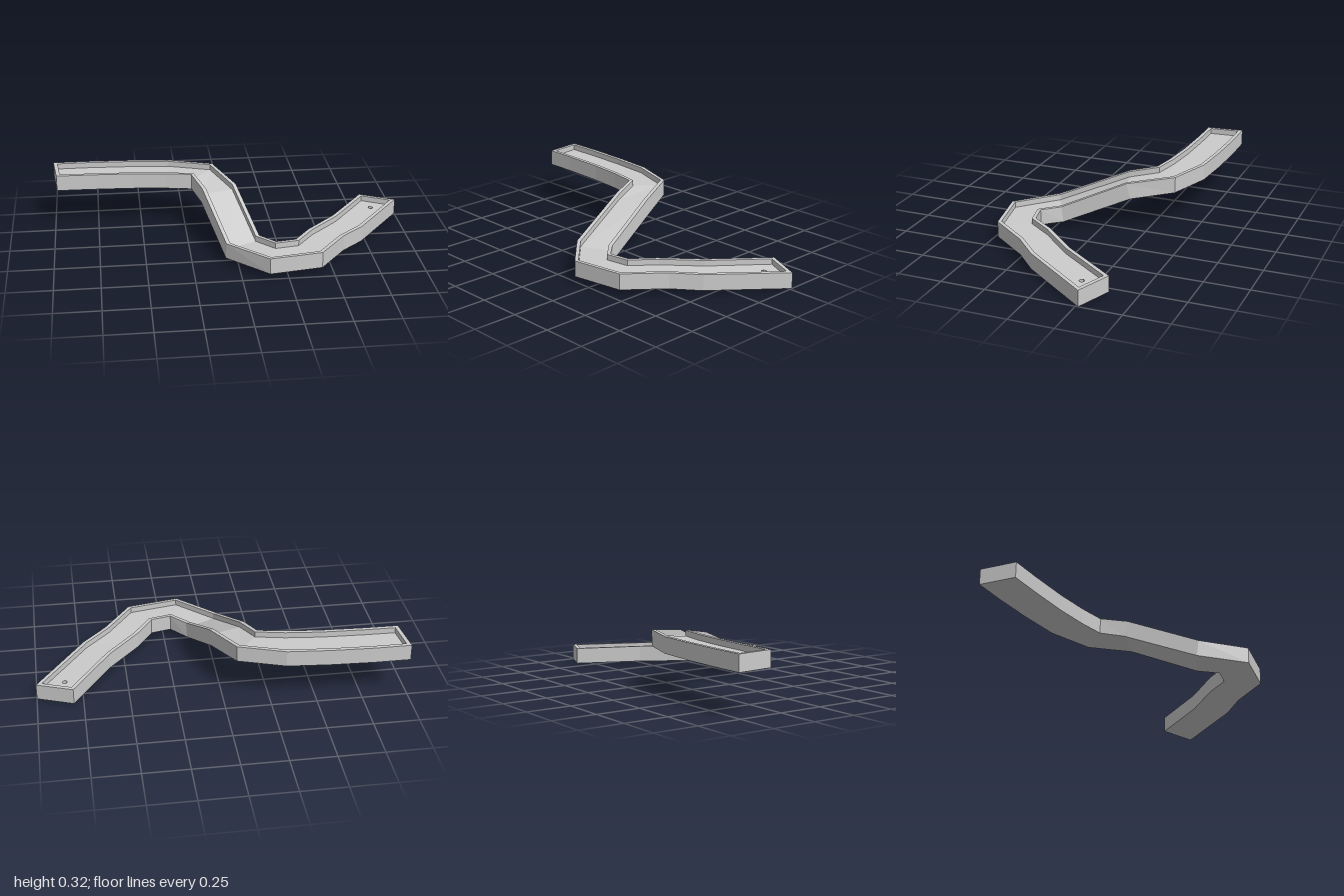
import * as THREE from 'three';

const RIM = 0.022, DEPTH = 0.032, HEIGHT = 0.09;
const HOLE = { x: 0.845, z: -0.22, r: 0.014 };

// Stations along the lane: far edge x, y, z, then near edge x, y, z
const STATIONS = [
  [-1, 0.317, -0.51, -0.98, 0.317, -0.30],
  [-0.80, 0.317, -0.51, -0.79, 0.317, -0.297],
  [-0.56, 0.317, -0.50, -0.55, 0.317, -0.287],
  [-0.33, 0.317, -0.48, -0.36, 0.317, -0.267],
  [-0.075, 0.317, -0.393, -0.21, 0.317, -0.24],
  [0.037, 0.285, -0.147, -0.16, 0.288, -0.09],
  [0.125, 0.125, 0.21, -0.065, 0.125, 0.30],
  [0.207, 0.125, 0.30, 0.147, 0.123, 0.505],
  [0.32, 0.123, 0.277, 0.438, 0.12, 0.453],
  [0.41, 0.118, 0.147, 0.592, 0.113, 0.245],
  [0.585, 0.11, -0.04, 0.72, 0.105, 0.12],
  [0.803, 0.097, -0.35, 1, 0.09, -0.265],
];

// Flat-shaded mesh from a list of four-cornered faces
function quadMesh(name, quads, material) {
  const points = quads.flatMap(([a, b, c, d]) => [a, b, c, a, c, d]);
  const geometry = new THREE.BufferGeometry().setFromPoints(points);
  geometry.computeVertexNormals();
  const mesh = new THREE.Mesh(geometry, material);
  mesh.name = name;
  return mesh;
}

// Faces joining two rails running along the lane
function strip(p, q, end = p.length - 1) {
  const quads = [];
  for (let i = 0; i < end; i++) quads.push([p[i], q[i], q[i + 1], p[i + 1]]);
  return quads;
}

const lower = (rail, dy) => rail.map((p) => new THREE.Vector3(p.x, p.y - dy, p.z));

export function createModel() {
  const group = new THREE.Group();
  group.name = 'lane';
  const material = new THREE.MeshStandardMaterial({ color: 0xcccccc, flatShading: true });
  const last = STATIONS.length - 1;

  // Outer top rails
  const farOut = STATIONS.map((s) => new THREE.Vector3(s[0], s[1], s[2]));
  const nearOut = STATIONS.map((s) => new THREE.Vector3(s[3], s[4], s[5]));

  // Inner top rails, drawn in from the sides and from both ends
  const inset = (from, to) => from.map((p, i) => {
    const q = p.clone().add(to[i].clone().sub(p).setLength(RIM));
    if (i === 0) q.add(from[1].clone().sub(p).setLength(RIM));
    if (i === last) q.add(from[last - 1].clone().sub(p).setLength(RIM));
    return q;
  });
  const farIn = inset(farOut, nearOut), nearIn = inset(nearOut, farOut);
  const farFloor = lower(farIn, DEPTH), nearFloor = lower(nearIn, DEPTH);
  const farBase = lower(farOut, HEIGHT), nearBase = lower(nearOut, HEIGHT);

  // The underside of the ramp leans back against the slope
  for (const base of [farBase, nearBase]) {
    base[5].add(new THREE.Vector3(-0.005, 0, -0.02));
    base[6].add(new THREE.Vector3(-0.003, 0, -0.01));
  }

  // Outer sides, underside and end faces
  group.add(quadMesh('outerShell', [
    ...strip(nearOut, nearBase), ...strip(nearBase, farBase), ...strip(farBase, farOut),
    [farOut[0], farBase[0], nearBase[0], nearOut[0]],
    [nearOut[last], nearBase[last], farBase[last], farOut[last]],
  ], material));

  // Flat top of the border
  group.add(quadMesh('rim', [
    ...strip(farOut, farIn), ...strip(nearIn, nearOut),
    [farOut[0], nearOut[0], nearIn[0], farIn[0]],
    [nearOut[last], farOut[last], farIn[last], nearIn[last]],
  ], material));

  // Inner faces of the border
  group.add(quadMesh('innerWalls', [
    ...strip(farIn, farFloor), ...strip(nearFloor, nearIn),
    [farIn[0], nearIn[0], nearFloor[0], farFloor[0]],
    [nearIn[last], farIn[last], farFloor[last], nearFloor[last]],
  ], material));

  // Floor up to the last section
  group.add(quadMesh('floor', strip(farFloor, nearFloor, last - 1), material));

  // Last floor section, with a round hole, laid on the sloping plane
  const corners = [farFloor[last - 1], nearFloor[last - 1], nearFloor[last], farFloor[last]];
  const shape = new THREE.Shape(corners.map((p) => new THREE.Vector2(p.x, -p.z)));
  shape.holes.push(new THREE.Path().absarc(HOLE.x, -HOLE.z, HOLE.r, 0, Math.PI * 2, true));
  const plane = new THREE.Plane().setFromCoplanarPoints(corners[0], corners[1], corners[2]);
  const floorY = (x, z) =>
    -(plane.constant + plane.normal.x * x + plane.normal.z * z) / plane.normal.y;
  const endGeometry = new THREE.ShapeGeometry(shape, 6).rotateX(-Math.PI / 2);
  const pos = endGeometry.attributes.position;
  for (let i = 0; i < pos.count; i++) pos.setY(i, floorY(pos.getX(i), pos.getZ(i)));
  endGeometry.computeVertexNormals();
  const endFloor = new THREE.Mesh(endGeometry, material);
  endFloor.name = 'holeFloor';
  group.add(endFloor);

  // Cup below the hole
  const cupProfile = [[0, -0.03], [HOLE.r, -0.03], [HOLE.r, 0]].map(([r, y]) => new THREE.Vector2(r, y));
  const cupMaterial = material.clone();
  cupMaterial.side = THREE.DoubleSide;
  const cup = new THREE.Mesh(new THREE.LatheGeometry(cupProfile, 12), cupMaterial);
  cup.name = 'cup';
  cup.position.set(HOLE.x, floorY(HOLE.x, HOLE.z), HOLE.z);
  group.add(cup);

  return group;
}
